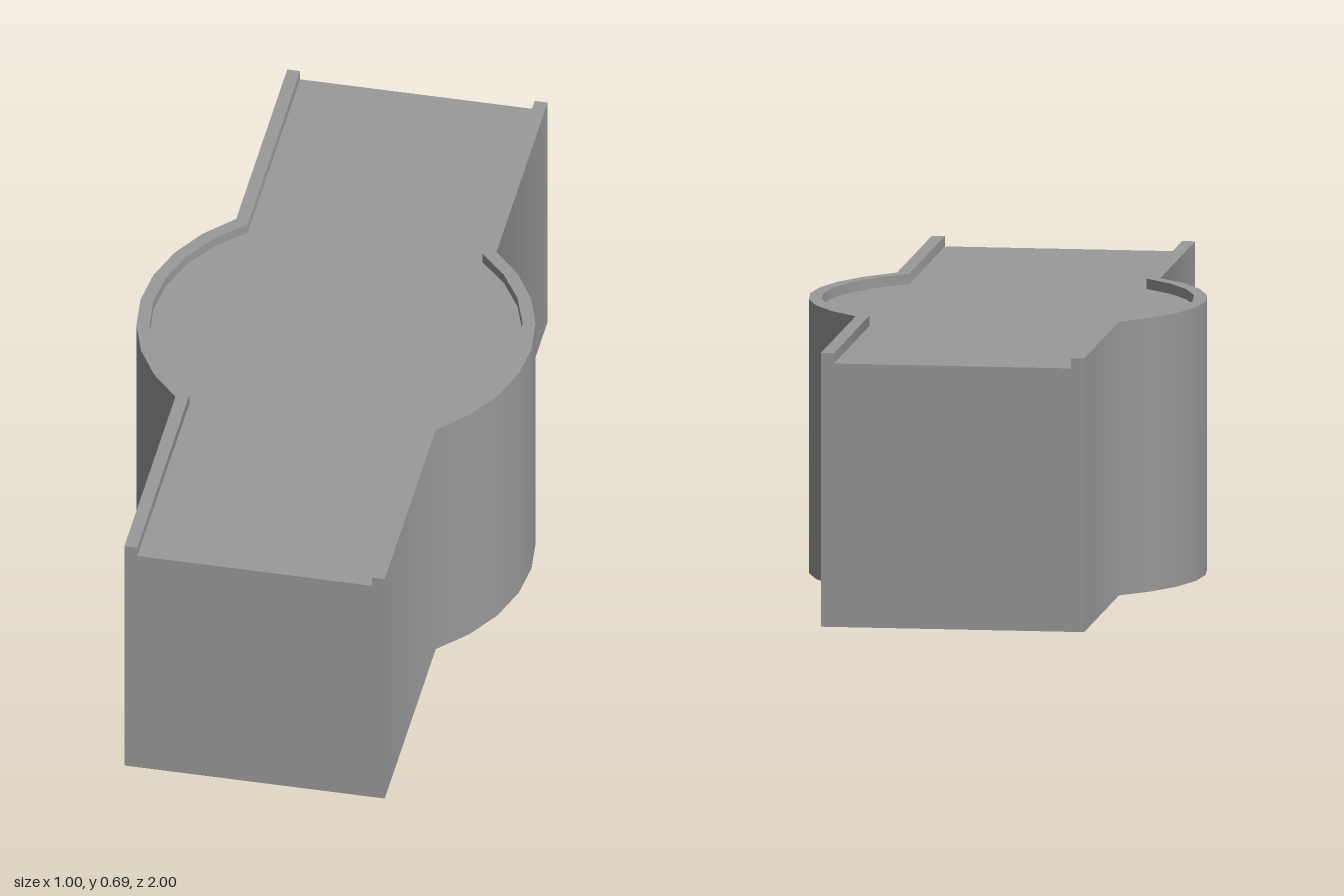
import * as THREE from 'three';

const HEIGHT = 0.693, FLOOR = 0.667;   // rim top and recessed top surface
const OUTER = { x: 0.333, r: 0.5 }, INNER = { x: 0.3, r: 0.467 };
const ARC_STEPS = 8;

const material = new THREE.MeshStandardMaterial({ color: 0x9a9a9a, side: THREE.DoubleSide });

// Plan outline of the +x side, front to back: straight, round bulge, straight
function sideOutline({ x, r }) {
  const end = Math.acos(x / r);
  const pts = [[x, 1]];
  for (let i = 0; i <= ARC_STEPS; i++) {
    const a = end * (1 - 2 * i / ARC_STEPS);
    pts.push([r * Math.cos(a), r * Math.sin(a)]);
  }
  pts.push([x, -1]);
  return pts;
}

// Smooth strip between two outlines, each at its own height
function strip(lower, y0, upper, y1) {
  const low = lower.map(([x, z]) => new THREE.Vector3(x, y0, z));
  const high = upper.map(([x, z]) => new THREE.Vector3(x, y1, z));
  // One unit normal per panel; neighbours count equally at a shared edge
  const panelNormals = low.slice(1).map((p, i) => p.clone().sub(low[i])
    .cross(high[i].clone().sub(low[i])).normalize());
  const positions = [], normals = [], index = [];
  low.forEach((p, i) => {
    const before = panelNormals[Math.max(i - 1, 0)];
    const after = panelNormals[Math.min(i, panelNormals.length - 1)];
    const n = before.clone().add(after).normalize();
    positions.push(...p, ...high[i]);
    normals.push(...n, ...n);
    if (i > 0) {
      const a = 2 * (i - 1);
      index.push(a, a + 2, a + 3, a, a + 3, a + 1);
    }
  });
  const g = new THREE.BufferGeometry();
  g.setAttribute('position', new THREE.Float32BufferAttribute(positions, 3));
  g.setAttribute('normal', new THREE.Float32BufferAttribute(normals, 3));
  g.setIndex(index);
  return g;
}

function addMesh(parent, name, geometry) {
  const mesh = new THREE.Mesh(geometry, material);
  mesh.name = name;
  parent.add(mesh);
  return mesh;
}

export function createModel() {
  const model = new THREE.Group();
  model.name = 'bulgedBlock';
  const outer = sideOutline(OUTER), inner = sideOutline(INNER);

  // End wall, notched at the top between the two rims
  const endShape = new THREE.Shape([
    [-OUTER.x, 0], [OUTER.x, 0], [OUTER.x, HEIGHT], [INNER.x, HEIGHT],
    [INNER.x, FLOOR], [-INNER.x, FLOOR], [-INNER.x, HEIGHT], [-OUTER.x, HEIGHT],
  ].map(([x, y]) => new THREE.Vector2(x, y)));

  // Each half turn gives one side wall with its rim, and one end wall
  for (const [half, side, end] of [[0, 'left', 'front'], [1, 'right', 'back']]) {
    const group = new THREE.Group();
    group.name = side + 'Half';
    group.rotation.y = half * Math.PI;
    addMesh(group, side + 'Wall', strip(outer, 0, outer, HEIGHT));
    addMesh(group, side + 'RimTop', strip(outer, HEIGHT, inner, HEIGHT));
    addMesh(group, side + 'RimInside', strip(inner, HEIGHT, inner, FLOOR));
    addMesh(group, end + 'Wall', new THREE.ShapeGeometry(endShape)).position.z = 1;
    model.add(group);
  }

  // Recessed top surface between the rims; the underside stays open
  const plan = [...inner, ...inner.map(([x, z]) => [-x, -z])];
  const topShape = new THREE.Shape(plan.map(([x, z]) => new THREE.Vector2(x, -z)));
  const top = new THREE.ShapeGeometry(topShape).rotateX(-Math.PI / 2);
  addMesh(model, 'topSurface', top).position.y = FLOOR;

  return model;
}
